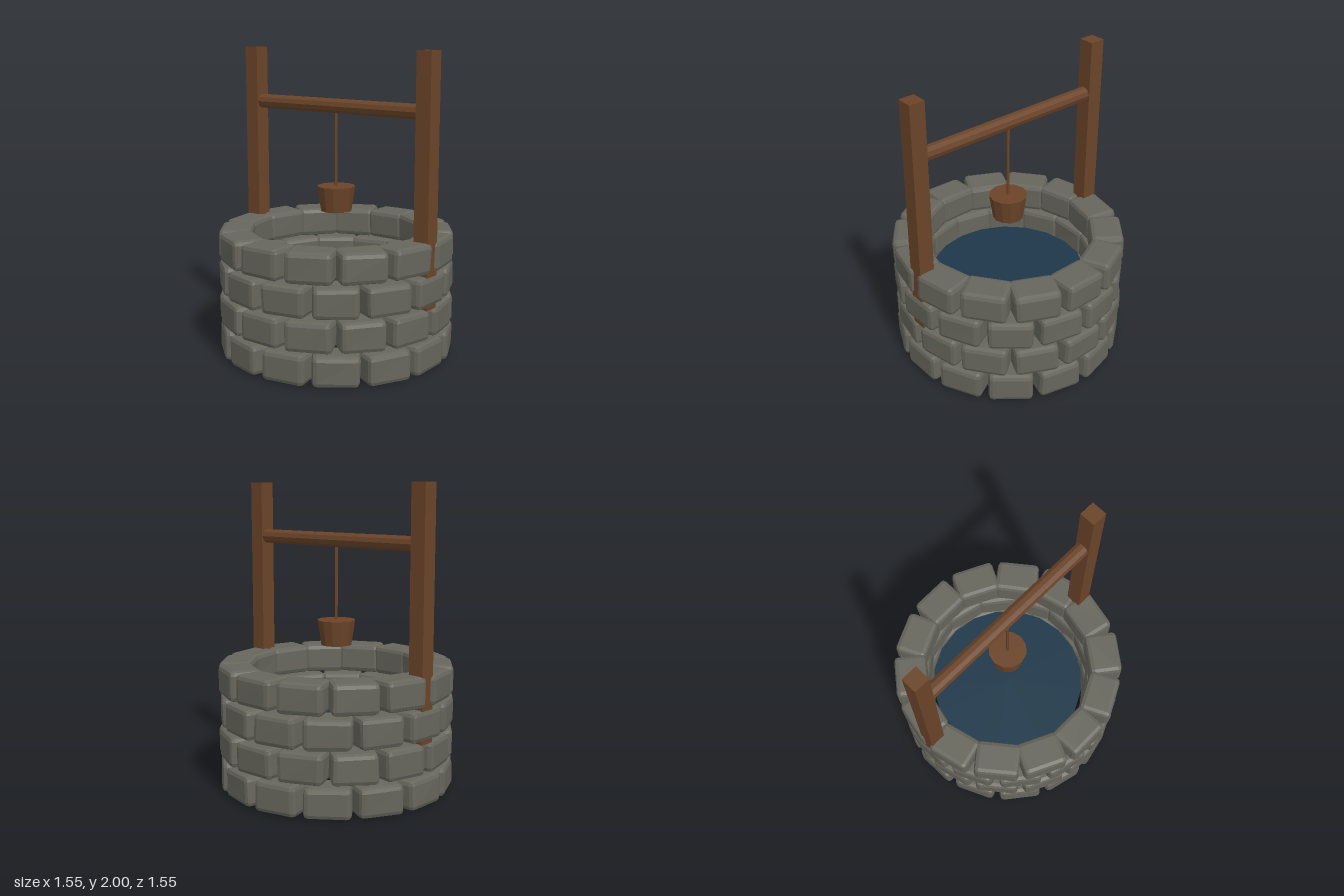
import * as THREE from 'three';
import { RoundedBoxGeometry } from 'three/addons/geometries/RoundedBoxGeometry.js';

// Small seeded generator, returns -1..1
function seeded(seed) {
  let s = seed;
  return () => {
    s = (s * 16807) % 2147483647;
    return (s / 2147483647) * 2 - 1;
  };
}

// Chamfered block whose eight corners are nudged a little
function stoneGeometry(rand) {
  const geo = new RoundedBoxGeometry(0.29 + rand() * 0.006, 0.195, 0.217, 1, 0.03);
  const corners = Array.from({ length: 8 }, () => [rand() * 0.004, rand() * 0.003, rand() * 0.003]);
  const p = geo.attributes.position;
  for (let i = 0; i < p.count; i++) {
    const x = p.getX(i), y = p.getY(i), z = p.getZ(i);
    const c = corners[(x > 0 ? 1 : 0) + (y > 0 ? 2 : 0) + (z > 0 ? 4 : 0)];
    p.setXYZ(i, x + c[0], y + c[1], z + c[2]);
  }
  geo.computeVertexNormals();
  return geo;
}

export function createModel() {
  const stone = new THREE.MeshStandardMaterial({ color: 0x66665d, flatShading: true });
  const wood = new THREE.MeshStandardMaterial({ color: 0x6b4429, flatShading: true });
  const water = new THREE.MeshStandardMaterial({ color: 0x1d3749, side: THREE.DoubleSide });
  stone.name = 'stone';
  wood.name = 'wood';
  water.name = 'water';

  const model = new THREE.Group();
  model.name = 'well';
  const add = (name, geo, mat, x, y, z, parent = model) => {
    const mesh = new THREE.Mesh(geo, mat);
    mesh.name = name;
    mesh.position.set(x, y, z);
    parent.add(mesh);
    return mesh;
  };

  // Four courses of fourteen stones, alternate courses shifted half a stone
  const rand = seeded(4711);
  const count = 14;
  const radius = 0.658;
  for (let row = 0; row < 4; row++) {
    const course = new THREE.Group();
    course.name = 'stoneCourse' + (row + 1);
    for (let i = 0; i < count; i++) {
      const a = ((i + (row % 2 ? 0 : 0.5)) / count) * Math.PI * 2;
      const r = radius + rand() * 0.003;
      const block = add('stone', stoneGeometry(rand), stone,
        Math.sin(a) * r, 0.105 + row * 0.212, Math.cos(a) * r, course);
      block.rotation.y = a + rand() * 0.015;
    }
    model.add(course);
  }

  // Water surface
  add('water', new THREE.CircleGeometry(0.528, 20), water, 0, 0.5, 0).rotation.x = -Math.PI / 2;

  // Posts set into the wall
  for (const side of [-1, 1]) {
    add(side > 0 ? 'leftPost' : 'rightPost', new THREE.BoxGeometry(0.105, 1.59, 0.105), wood, side * 0.703, 1.205, 0);
  }

  // Crossbeam, rope and bucket
  add('crossbeam', new THREE.CylinderGeometry(0.048, 0.048, 1.32, 10), wood, 0, 1.632, 0).rotation.z = Math.PI / 2;
  add('rope', new THREE.CylinderGeometry(0.01, 0.01, 0.52, 6), wood, 0, 1.355, 0);
  add('bucket', new THREE.CylinderGeometry(0.126, 0.102, 0.165, 12), wood, 0, 1.025, 0);

  return model;
}
